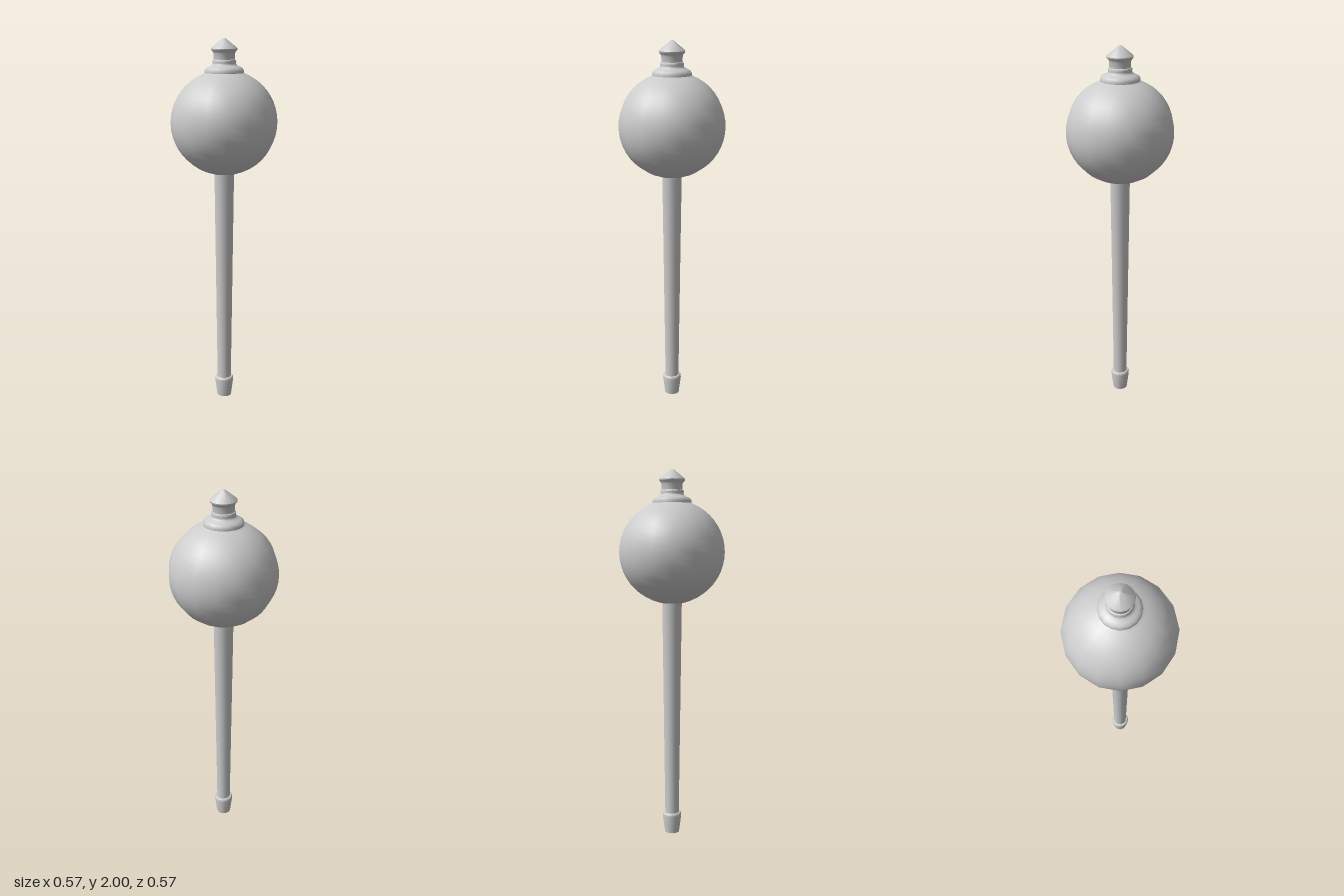
import * as THREE from 'three';
import { toCreasedNormals } from 'three/addons/utils/BufferGeometryUtils.js';

const SIDES = 16;

export function createModel() {
  const model = new THREE.Group();
  model.name = 'mace';
  const material = new THREE.MeshStandardMaterial({ color: 0xcccccc });

  // Turned part from [radius, height] pairs, listed bottom to top
  function turned(name, profile) {
    const points = profile.map(([r, y]) => new THREE.Vector2(r, y));
    const geometry = toCreasedNormals(new THREE.LatheGeometry(points, SIDES), 0.7);
    const mesh = new THREE.Mesh(geometry, material);
    mesh.name = name;
    model.add(mesh);
  }

  // Tapered ferrule at the foot, with a rounded upper lip
  turned('ferrule', [
    [0, 0], [0.04, 0], [0.041, 0.01], [0.052, 0.095],
    [0.051, 0.107], [0.046, 0.113], [0.036, 0.114],
  ]);

  // Shaft widening slightly towards the head
  turned('shaft', [[0.038, 0.11], [0.053, 1.31]]);

  // Ball head
  const ball = [];
  const rings = 24;
  for (let i = 0; i <= rings; i++) {
    const a = -Math.PI / 2 + (Math.PI * i) / rings;
    const r = i % rings ? 0.283 * Math.cos(a) : 0;
    ball.push([r, 1.564 + 0.277 * Math.sin(a)]);
  }
  turned('ballHead', ball);

  // Rounded collar on top of the ball
  turned('collar', [
    [0.118, 1.815], [0.103, 1.823], [0.104, 1.834], [0.098, 1.845],
    [0.086, 1.853], [0.072, 1.859], [0.063, 1.866], [0.061, 1.874],
    [0.063, 1.882], [0.06, 1.889], [0.054, 1.892],
  ]);

  // Pointed finial on a short neck
  turned('finial', [
    [0.055, 1.88], [0.056, 1.922], [0.06, 1.931], [0.068, 1.939],
    [0.069, 1.946], [0.064, 1.953], [0.014, 1.993], [0.006, 1.999], [0, 2],
  ]);

  return model;
}
